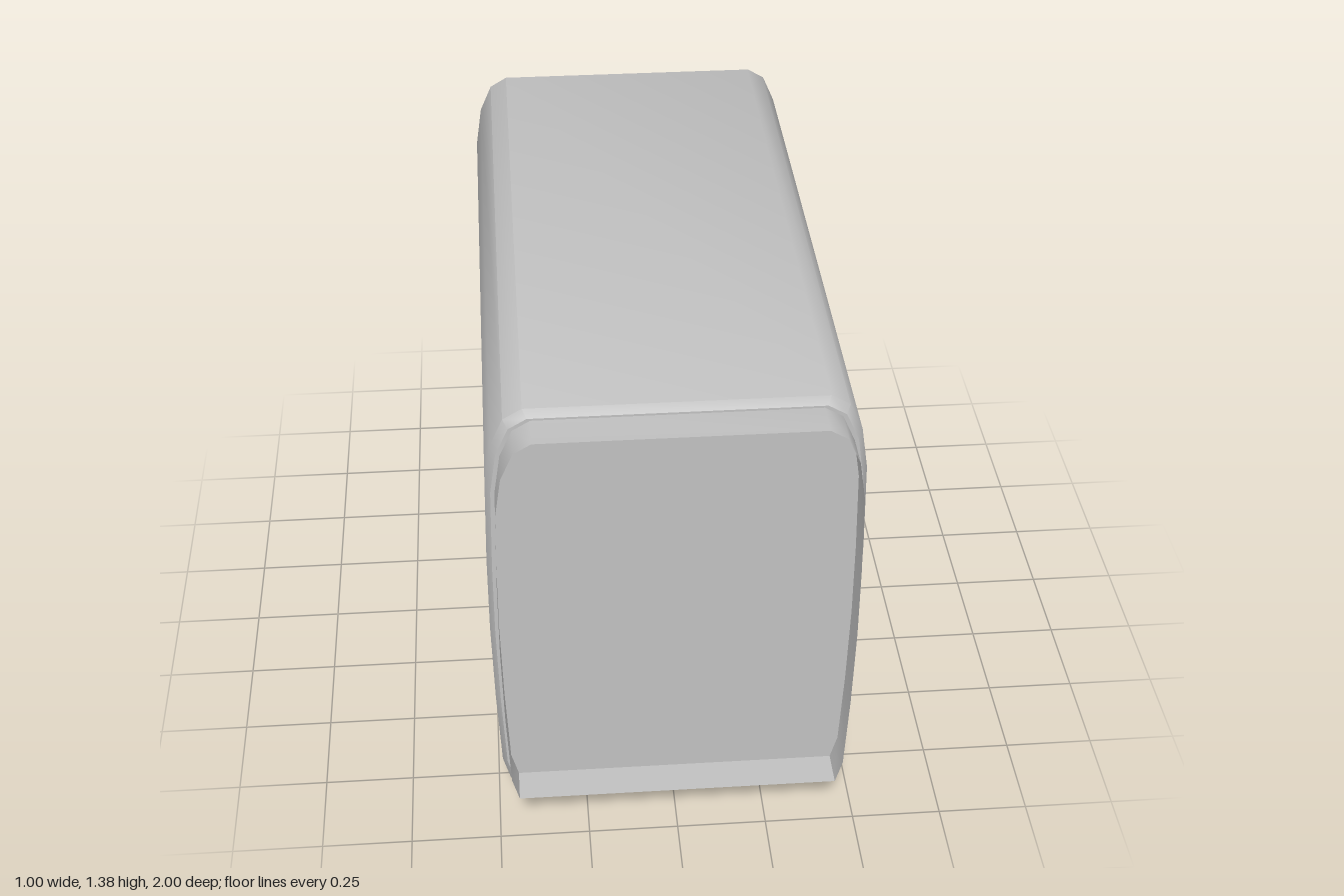
import * as THREE from 'three';
import { toCreasedNormals } from 'three/addons/utils/BufferGeometryUtils.js';

// Half cross-section, from the floor corner up to the roof edge
const HALF = [
  [0.465, 0.105], [0.485, 0.18], [0.495, 0.42], [0.5, 0.67], [0.499, 0.9],
  [0.493, 1.15], [0.475, 1.27], [0.44, 1.35], [0.39, 1.38],
];
const MID_Y = 0.7425;

// Full outline, counter-clockwise seen from the front
function outline(sx, sy, midY = MID_Y) {
  const right = HALF.map(([x, y]) => [x * sx, midY + (y - MID_Y) * sy]);
  return [...right, ...right.map(([x, y]) => [-x, y]).reverse()];
}

// Skin between outlines placed along z
function loft(rings) {
  const n = rings[0].points.length;
  const positions = [];
  const index = [];
  for (const { points, z } of rings) {
    for (const [x, y] of points) positions.push(x, y, z);
  }
  for (let j = 0; j < rings.length - 1; j++) {
    for (let i = 0; i < n; i++) {
      const a = j * n + i;
      const b = j * n + ((i + 1) % n);
      index.push(a, b, a + n, b, b + n, a + n);
    }
  }
  const geometry = new THREE.BufferGeometry();
  geometry.setAttribute('position', new THREE.Float32BufferAttribute(positions, 3));
  geometry.setIndex(index);
  return toCreasedNormals(geometry, 0.65);
}

const shapeOf = (points) => new THREE.Shape(points.map(([x, y]) => new THREE.Vector2(x, y)));

export function createModel() {
  const group = new THREE.Group();
  const grey = new THREE.MeshStandardMaterial({ color: 0xc0c0c0, side: THREE.DoubleSide });
  grey.name = 'plain grey';

  const add = (name, geometry) => {
    const mesh = new THREE.Mesh(geometry, grey);
    mesh.name = name;
    group.add(mesh);
    return mesh;
  };

  // Long body with small chamfers at both ends
  const full = outline(1, 1);
  const inset = outline(0.972, 0.978);
  add('bodyShell', loft([
    { points: inset, z: -1 },
    { points: full, z: -0.975 },
    { points: full, z: 0.875 },
    { points: inset, z: 0.9 },
  ]));

  // Flat end panels
  add('frontPanel', new THREE.ShapeGeometry(shapeOf(inset))).position.z = 0.9;
  const back = add('backPanel', new THREE.ShapeGeometry(shapeOf(inset)));
  back.rotation.y = Math.PI;
  back.position.z = -1;

  // Open collar standing out from the front
  const collar = outline(0.95, 0.953, 0.7525);
  add('frontCollar', loft([{ points: collar, z: 0.89 }, { points: collar, z: 1 }]));

  // Half-round wheels, flat-sided, set across x
  const wheel = new THREE.ExtrudeGeometry(
    shapeOf([[-0.115, 0.11], [-0.085, 0.038], [0, 0], [0.085, 0.038], [0.115, 0.11]]),
    { depth: 0.04, bevelEnabled: false },
  );
  wheel.rotateY(-Math.PI / 2).translate(0.02, 0, 0);

  for (const side of [1, -1]) {
    const label = side > 0 ? 'left' : 'right';
    add(`${label}FrontWheel`, wheel).position.set(side * 0.315, 0, 0.325);
    add(`${label}BackWheel`, wheel).position.set(side * 0.315, 0, -0.425);

    // Shallow rail just proud of the floor
    const rail = add(`${label}Rail`, new THREE.BoxGeometry(0.085, 0.017, 1.05));
    rail.position.set(side * 0.3375, 0.1115, -0.05);
  }
  return group;
}
